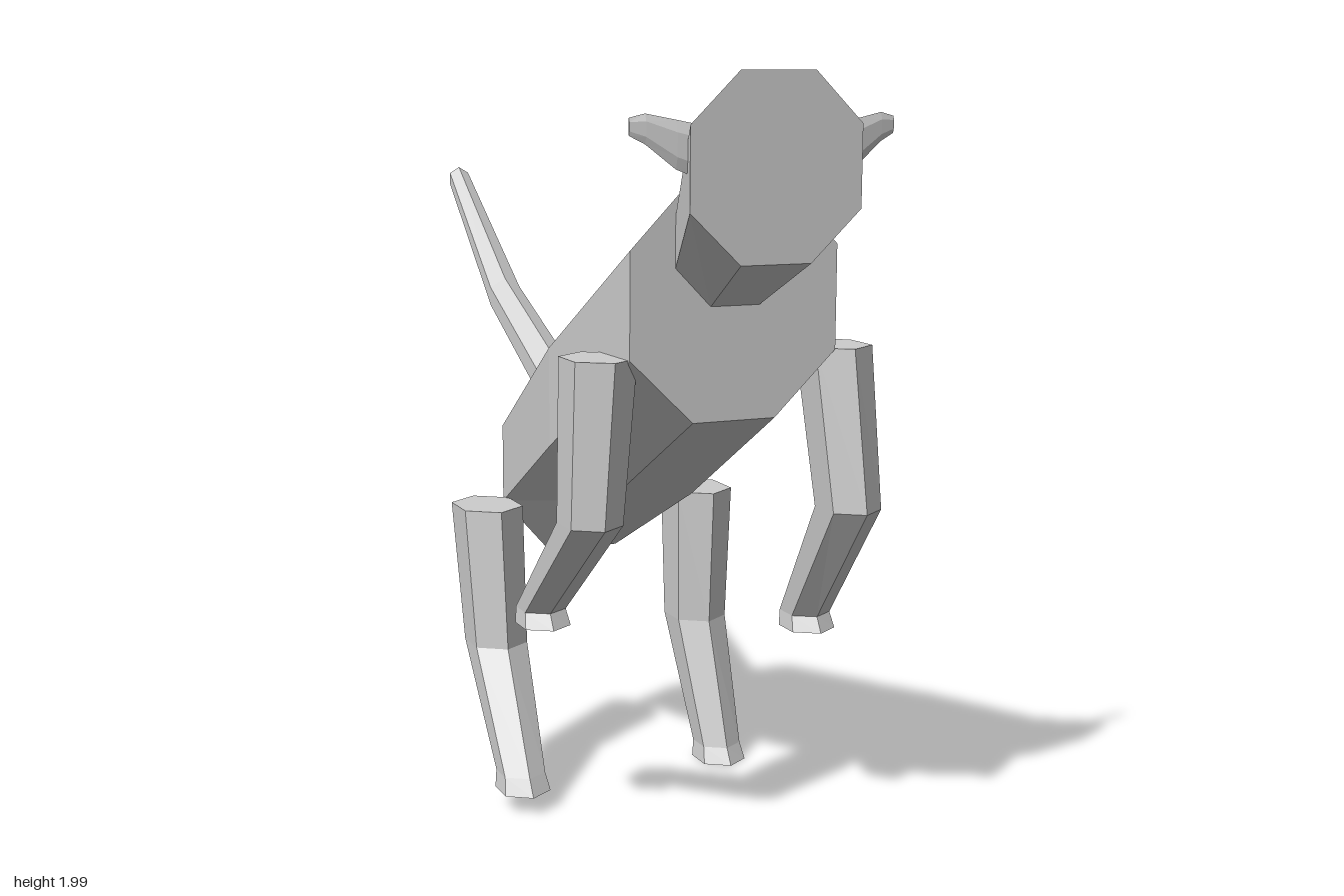
import * as THREE from 'three';

// Joins rings of equal length into a closed, faceted solid
function loft(rings) {
  const n = rings[0].length, tris = [];
  for (let s = 0; s < rings.length - 1; s++) {
    const a = rings[s], b = rings[s + 1];
    for (let i = 0; i < n; i++) {
      const j = (i + 1) % n;
      tris.push([a[i], a[j], b[j]], [a[i], b[j], b[i]]);
    }
  }
  const first = rings[0], last = rings[rings.length - 1];
  for (let i = 1; i < n - 1; i++) {
    tris.push([first[0], first[i + 1], first[i]], [last[0], last[i], last[i + 1]]);
  }
  // Turn the faces outward whichever way the rings run
  let volume = 0;
  for (const t of tris) {
    const [a, b, c] = t.map((p) => new THREE.Vector3(...p));
    volume += a.dot(b.cross(c));
  }
  if (volume < 0) tris.forEach((t) => t.reverse());
  const geo = new THREE.BufferGeometry();
  geo.setAttribute('position', new THREE.Float32BufferAttribute(tris.flat(2), 3));
  geo.computeVertexNormals();
  return geo;
}

// Upright octagon at z: half width w, half top and bottom flats, four heights
const octagon = (z, w, topFlat, lowFlat, [top, up, low, bottom], cx = 0) => [
  [topFlat, top], [w, up], [w, low], [lowFlat, bottom],
  [-lowFlat, bottom], [-w, low], [-w, up], [-topFlat, top],
].map(([x, y]) => [cx + x, y, z]);

// Unit hexagon with points on the second axis and flat sides on the first
const HEX = [[0, 1], [1, 0.5], [1, -0.5], [0, -1], [-1, -0.5], [-1, 0.5]];
const levelHex = ([x, y, z, hx, hz]) => HEX.map(([u, v]) => [x + u * hx, y, z + v * hz]);
const uprightHex = ([x, y, z, hx, hy]) => HEX.map(([u, v]) => [x + u * hx, y + v * hy, z]);

export function createModel() {
  const model = new THREE.Group();
  model.name = 'animal';
  const grey = new THREE.MeshStandardMaterial({ color: 0xcccccc, flatShading: true });
  grey.name = 'light grey';
  const add = (name, rings) => {
    const mesh = new THREE.Mesh(loft(rings), grey);
    mesh.name = name;
    model.add(mesh);
  };

  // Sloping trunk
  add('body', [
    octagon(0.77, 0.275, 0.11, 0.11, [1.74, 1.57, 1.31, 1.15]),
    octagon(0.27, 0.29, 0.12, 0.12, [1.445, 1.28, 1.02, 0.86]),
    octagon(-0.23, 0.245, 0.105, 0.105, [1.15, 0.99, 0.77, 0.61]),
  ]);

  // Head widening to a flat face
  add('head', [
    octagon(0.77, 0.158, 0.07, 0.065, [1.74, 1.65, 1.525, 1.43]),
    octagon(1.0, 0.218, 0.095, 0.09, [1.985, 1.865, 1.67, 1.548], -0.01),
  ]);

  // Thin tapered ears
  for (const [name, side, shift] of [['leftEar', 1, 0], ['rightEar', -1, -0.02]]) {
    const ring = (x, y, z, hy, hz) =>
      HEX.map(([u, v]) => [side * x + shift, y + v * hy, z + u * hz]);
    add(name, [
      ring(0.17, 1.805, 0.957, 0.06, 0.01),
      ring(0.22, 1.82, 0.95, 0.055, 0.009),
      ring(0.29, 1.855, 0.938, 0.034, 0.006),
      ring(0.327, 1.86, 0.932, 0.02, 0.003),
    ]);
  }

  // Legs: x, y, z, half width, half depth from hip to sole
  add('frontLeftLeg', [
    [0.32, 1.31, 0.68, 0.08, 0.11],
    [0.335, 0.9, 0.745, 0.068, 0.097],
    [0.345, 0.57, 0.507, 0.056, 0.07],
    [0.345, 0.53, 0.52, 0.062, 0.08],
  ].map(levelHex));
  add('frontRightLeg', [
    [-0.32, 1.31, 0.68, 0.08, 0.11],
    [-0.335, 0.9, 0.665, 0.068, 0.097],
    [-0.345, 0.61, 0.345, 0.056, 0.07],
    [-0.345, 0.57, 0.36, 0.062, 0.08],
  ].map(levelHex));
  add('rearLeftLeg', [
    [0.325, 0.785, -0.14, 0.085, 0.122],
    [0.32, 0.4, -0.133, 0.075, 0.102],
    [0.33, 0.045, 0.005, 0.058, 0.073],
    [0.33, 0, 0.02, 0.065, 0.085],
  ].map(levelHex));
  add('rearRightLeg', [
    [-0.325, 0.785, -0.14, 0.085, 0.122],
    [-0.32, 0.4, -0.09, 0.075, 0.102],
    [-0.335, 0.095, 0.15, 0.058, 0.073],
    [-0.335, 0.05, 0.167, 0.065, 0.085],
  ].map(levelHex));

  // Kinked tail rising behind
  add('tail', [
    [0, 0.97, -0.22, 0.062, 0.07],
    [-0.06, 1.305, -0.725, 0.047, 0.055],
    [-0.115, 1.655, -1, 0.03, 0.036],
  ].map(uprightHex));

  return model;
}
